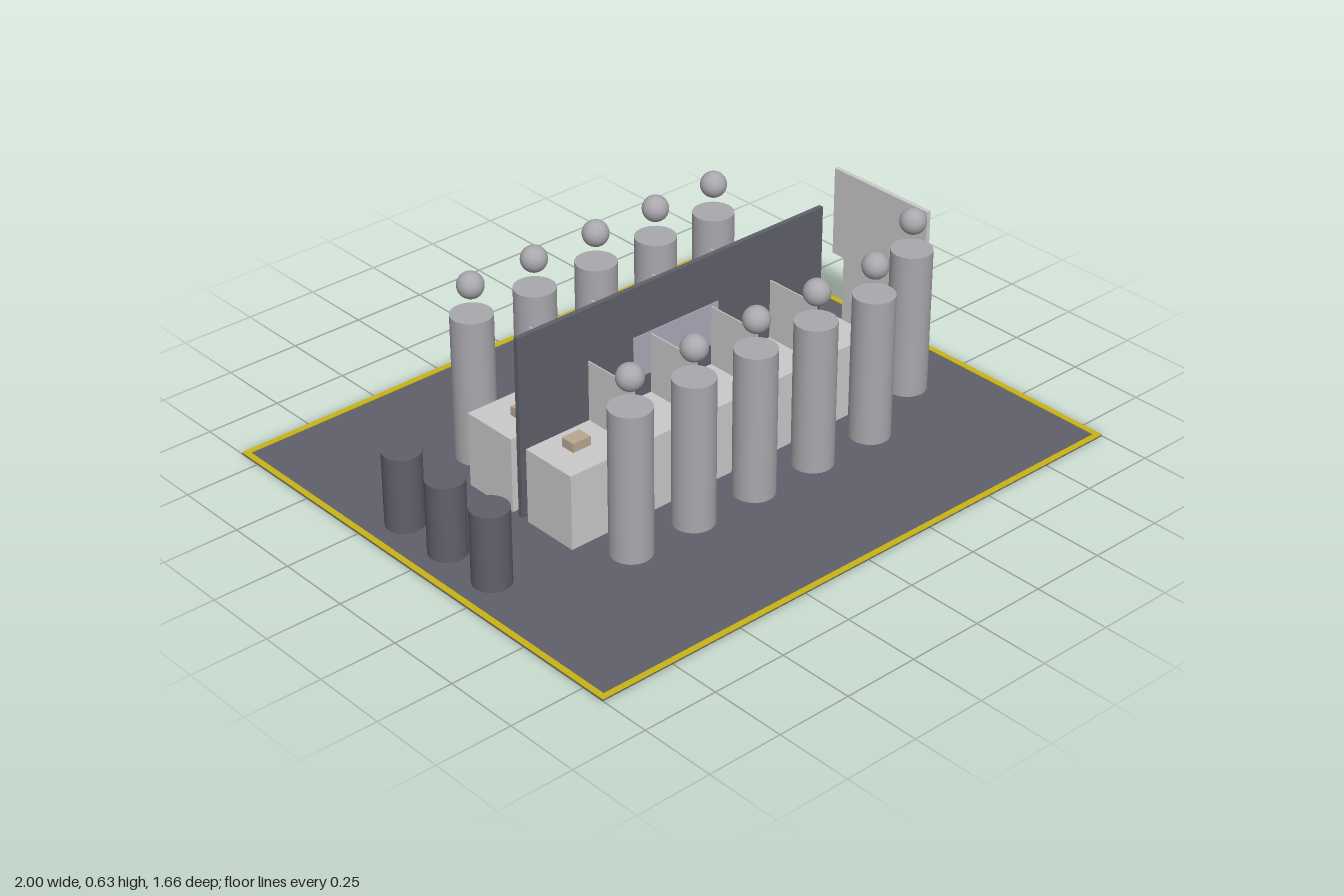
import * as THREE from 'three';

const mat = (name, color) => {
  const m = new THREE.MeshStandardMaterial({ color });
  m.name = name;
  return m;
};

export function createModel() {
  const model = new THREE.Group();
  model.name = 'boothHall';

  const charcoal = mat('charcoal', 0x5f6069);
  const lightGrey = mat('lightGrey', 0xc9c9c9);
  const figureGrey = mat('figureGrey', 0xa8a8ad);
  const screenLilac = mat('screenLilac', 0xaaaabb);
  const yellow = mat('yellow', 0xc8b414);
  const tan = mat('tan', 0xb9a88f);

  const add = (name, geometry, material, x, y, z, parent = model) => {
    const mesh = new THREE.Mesh(geometry, material);
    mesh.name = name;
    mesh.position.set(x, y, z);
    parent.add(mesh);
    return mesh;
  };
  // Box placed by its base height
  const box = (name, material, w, h, d, x, y, z) =>
    add(name, new THREE.BoxGeometry(w, h, d), material, x, y + h / 2, z);

  // Floor with a yellow border line
  const halfZ = 0.83, line = 0.02;
  box('floor', charcoal, 2, 0.004, halfZ * 2, 0, 0, 0);
  for (const s of [-1, 1]) {
    box('borderLong', yellow, 2, 0.002, line, 0, 0.004, s * (halfZ - line / 2));
    box('borderShort', yellow, line, 0.002, 2 * (halfZ - line), s * (1 - line / 2), 0.004, 0);
  }

  // Central partition wall with a screen showing on both faces
  box('partitionWall', charcoal, 1.2, 0.6, 0.016, 0, 0.004, 0);
  box('wallScreen', screenLilac, 0.335, 0.14, 0.022, 0, 0.3, 0);

  // Standing figure: cylinder body and sphere head
  const bodyGeo = new THREE.CylinderGeometry(0.066, 0.066, 0.486, 32);
  const headGeo = new THREE.SphereGeometry(0.042, 32, 20);
  const figure = (x, z) => {
    const g = new THREE.Group();
    g.name = 'figure';
    g.position.set(x, 0, z);
    add('body', bodyGeo, figureGrey, 0, 0.247, 0, g);
    add('head', headGeo, figureGrey, 0, 0.585, 0, g);
    model.add(g);
  };

  // Two rows of desks, each with a small device and a figure
  const pitch = 0.24;
  for (const s of [-1, 1]) {
    for (let i = -2; i <= 2; i++) {
      const x = i * pitch;
      box('desk', lightGrey, pitch, 0.248, 0.198, x, 0.004, s * 0.133);
      box('deskDevice', tan, 0.066, 0.03, 0.05, x, 0.252, s * 0.116);
      figure(x, s * 0.352);
    }
    // Thin dividers between neighbouring desks
    for (let i = -1.5; i <= 1.5; i++) {
      box('deskDivider', lightGrey, 0.004, 0.198, 0.198, i * pitch, 0.252, s * 0.133);
    }
  }

  // Lone attendant beside the display board
  figure(0.764, 0.23);

  // Display board: wide upper panel on a narrower lower panel
  const board = new THREE.Shape([
    [-0.15, 0.004], [0.15, 0.004], [0.15, 0.27], [0.2, 0.27],
    [0.2, 0.57], [-0.2, 0.57], [-0.2, 0.27], [-0.15, 0.27],
  ].map(([x, y]) => new THREE.Vector2(x, y)));
  const boardGeo = new THREE.ExtrudeGeometry(board, { depth: 0.015, bevelEnabled: false });
  boardGeo.rotateY(Math.PI / 2);
  add('displayBoard', boardGeo, lightGrey, 0.857, 0, 0);

  // Row of bins
  const binGeo = new THREE.CylinderGeometry(0.06, 0.06, 0.25, 32);
  for (const z of [-0.2, 0, 0.2]) add('bin', binGeo, charcoal, -0.868, 0.128, z);

  return model;
}
